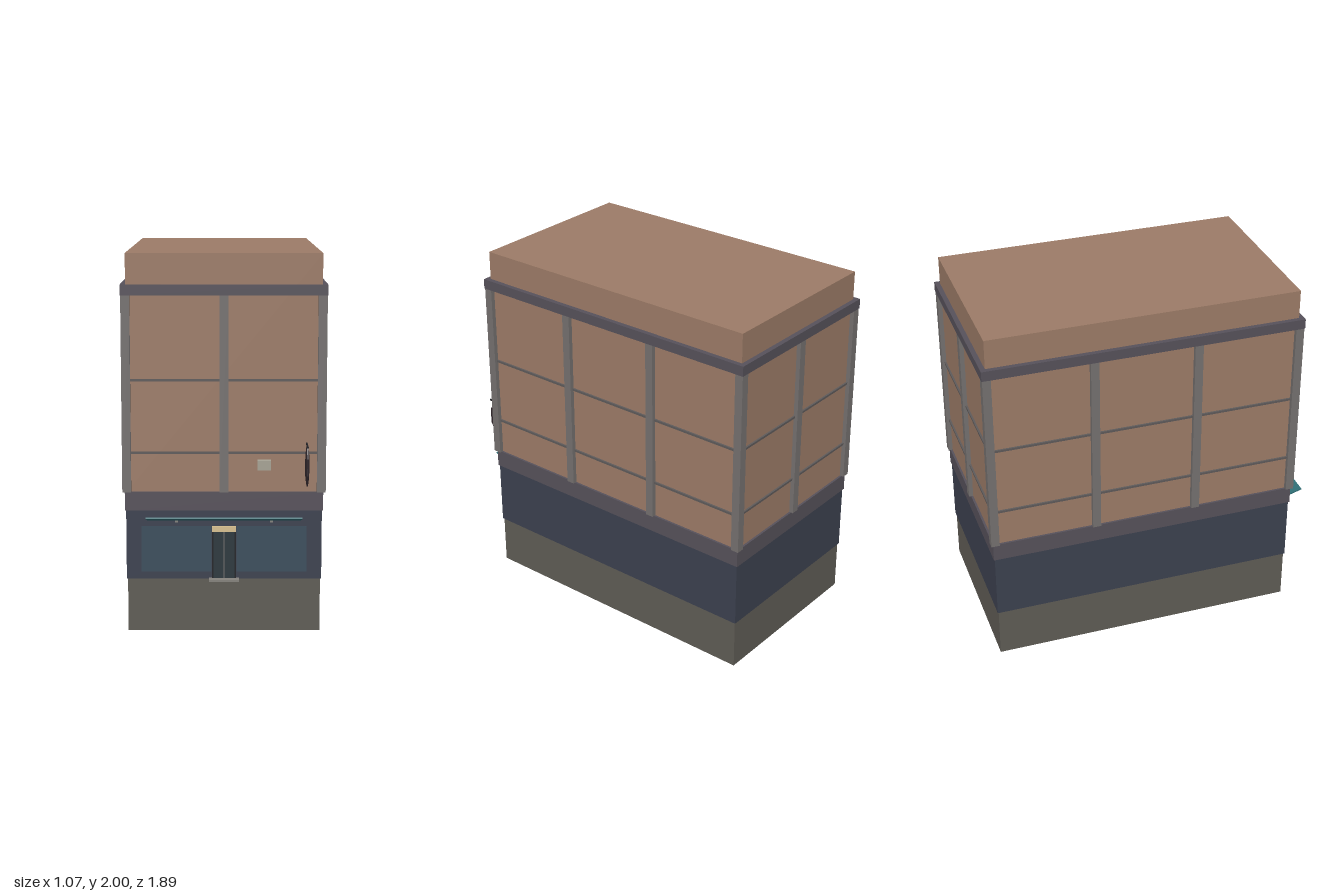
import * as THREE from 'three';

const mat = (color, side = THREE.FrontSide) =>
  new THREE.MeshStandardMaterial({ color, side, flatShading: true });

const M = {
  brick: mat(0x9c7b67), base: mat(0x5f5c55), shop: mat(0x3c414f), trim: mat(0x56515a),
  pier: mat(0x74706f), ledge: mat(0x5e5a5a), glass: mat(0x3b4d5c), door: mat(0x2b373d),
  awning: mat(0x2f6e75, THREE.DoubleSide), step: mat(0x85827d), lamp: mat(0xd8c090),
  sign: mat(0x33292e), metal: mat(0x222226), unit: mat(0xa5a294),
};

export function createModel() {
  const model = new THREE.Group();
  model.name = 'cornerShopBuilding';

  // Box given by its low and high limits on each axis
  const box = (name, m, [x0, x1], [y0, y1], [z0, z1], parent = model) => {
    const mesh = new THREE.Mesh(new THREE.BoxGeometry(x1 - x0, y1 - y0, z1 - z0), m);
    mesh.position.set((x0 + x1) / 2, (y0 + y1) / 2, (z0 + z1) / 2);
    mesh.name = name;
    parent.add(mesh);
    return mesh;
  };

  // Stacked body: every storey is the footprint grown by a margin
  const W = 0.508, ZB = -0.92, ZF = 0.8;
  const storey = (name, m, y0, y1, grow) =>
    box(name, m, [-W - grow, W + grow], [y0, y1], [ZB - grow, ZF + grow]);
  storey('foundation', M.base, 0, 0.285, 0);
  storey('shopStorey', M.shop, 0.285, 0.655, 0.006);
  storey('signBand', M.trim, 0.655, 0.755, 0.012);
  storey('upperWalls', M.brick, 0.755, 2, 0);
  storey('cornice', M.trim, 1.785, 1.84, 0.027);

  // Corner and intermediate piers
  const piers = new THREE.Group();
  piers.name = 'piers';
  model.add(piers);
  const OUT = 0.024, PW = 0.046, PY = [0.755, 1.785];
  const pier = (x0, x1, z0, z1) => box('pier', M.pier, [x0, x1], PY, [z0, z1], piers);
  for (const x of [-W - OUT, W + OUT - PW]) {
    for (const z of [ZB - OUT, ZF + OUT - PW]) pier(x, x + PW, z, z + PW);
  }
  for (const z of [0.227, -0.347]) {
    pier(W, W + OUT, z - PW / 2, z + PW / 2);
    pier(-W - OUT, -W, z - PW / 2, z + PW / 2);
  }
  pier(-PW / 2, PW / 2, ZF, ZF + OUT);
  pier(-PW / 2, PW / 2, ZB - OUT, ZB);

  // Thin string courses around the upper floors
  for (const y of [0.963, 1.345]) {
    storey('stringCourse', M.ledge, y - 0.006, y + 0.006, 0.01);
  }

  // Shop windows, door, step and lit transom
  for (const s of [-1, 1]) {
    const xs = [s * 0.065, s * 0.435].sort((a, b) => a - b);
    box('shopWindow', M.glass, xs, [0.325, 0.57], [0.8, 0.809]);
    const leaf = [s * 0.003, s * 0.056].sort((a, b) => a - b);
    box('doorLeaf', M.door, leaf, [0.29, 0.54], [0.8, 0.814]);
    const jamb = [s * 0.056, s * 0.064].sort((a, b) => a - b);
    box('doorJamb', M.metal, jamb, [0.29, 0.54], [0.8, 0.82]);
  }
  box('doorMeetingStile', M.pier, [-0.003, 0.003], [0.29, 0.54], [0.8, 0.818]);
  box('transomLight', M.lamp, [-0.063, 0.063], [0.54, 0.57], [0.8, 0.817]);
  box('doorStep', M.step, [-0.08, 0.08], [0.282, 0.291], [0.8, 0.86]);

  // Awning tilted up towards the street, with small lamps under it
  const slope = Math.atan2(0.04, 0.14);
  const awning = box('awning', M.awning, [-0.405, 0.405], [0.619, 0.627], [0.797, 0.943]);
  awning.rotation.x = -slope;
  for (const x of [-0.25, 0.25]) {
    box('awningLamp', M.step, [x - 0.008, x + 0.008], [0.592, 0.604], [0.8, 0.818]);
  }

  // Hanging blade sign: eight-sided lens on a bracket
  const profile = [[0, -0.01], [0.6, -0.009], [1, -0.003], [1, 0.003], [0.6, 0.009], [0, 0.01]]
    .map(([r, y]) => new THREE.Vector2(r, y));
  const lens = new THREE.LatheGeometry(profile, 8, Math.PI / 8);
  lens.rotateZ(-Math.PI / 2);
  lens.scale(1, 0.105 / 0.924, 0.057 / 0.924);
  const sign = new THREE.Mesh(lens, M.sign);
  sign.name = 'bladeSign';
  sign.position.set(0.431, 0.908, 0.881);
  model.add(sign);
  box('signBracket', M.metal, [0.427, 0.435], [1.009, 1.016], [0.8, 0.94]);

  // Wall-mounted cooling unit
  box('wallUnit', M.unit, [0.175, 0.245], [0.875, 0.925], [0.79, 0.836]);

  return model;
}
